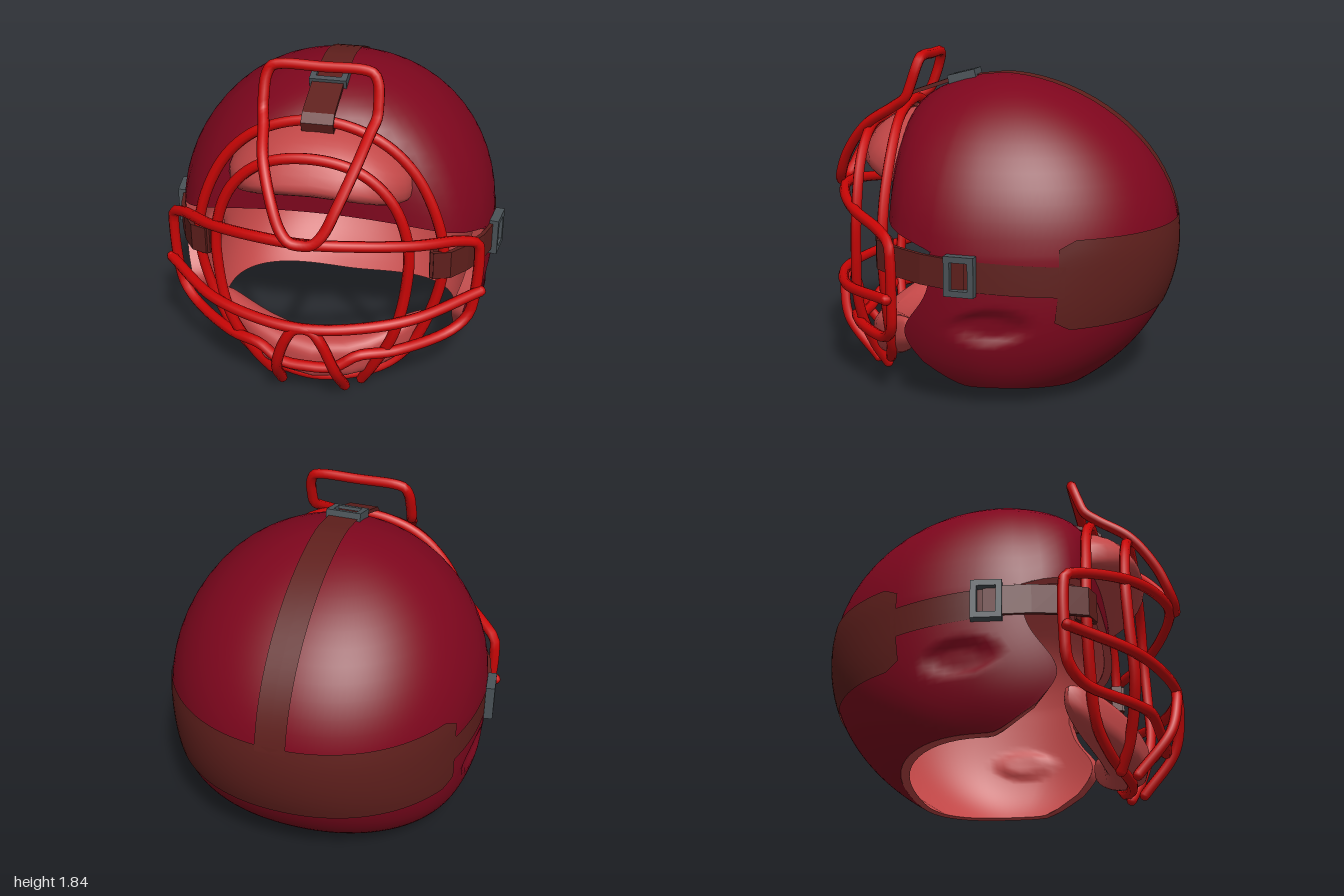
import * as THREE from 'three';
import { mergeGeometries, mergeVertices } from 'three/addons/utils/BufferGeometryUtils.js';

const mat = (name, color, open = true) =>
  new THREE.MeshStandardMaterial({ name, color, side: open ? THREE.DoubleSide : THREE.FrontSide });
const V = (x, y, z) => new THREE.Vector3(x, y, z);
const { lerp, smoothstep, degToRad: rad } = THREE.MathUtils;
const NOTCH = rad(74); // angle from the front where the face opening meets the ear flap

// Point on the helmet skin: phi runs from the front (0) round to the back (PI)
function skin(phi, y) {
  const c = Math.cos(phi), s = Math.sin(phi), up = y > 0.8;
  const u = up ? Math.min(1, (y - 0.8) / 0.91) : (0.8 - y) / 0.77;
  const rSide = 0.9 * (up ? Math.sqrt(1 - u * u) : 1 - 0.23 * u ** 4);
  const rBack = up ? (1 - u * u) ** 0.57 : Math.sqrt(1 - 0.72 * u * u);
  const full = c < 0 ? (Math.abs(s) ** 2.15 + Math.abs(c) ** 2.15) ** (-1 / 2.15) : 1; // fuller back
  let x = rSide * s * full;
  let z = c > 0 ? rSide * c : rBack * c * full;
  if (z > 0.3) z = 0.3 + 0.27 * Math.tanh((z - 0.3) / 0.27); // flattened brow
  const a = Math.abs(phi > Math.PI ? phi - 2 * Math.PI : phi);
  if (y < 0.72) { // ear flap swings forward round the cheek
    z += 0.165 * Math.exp(-(((y - 0.4) / 0.18) ** 2)) * (1 - smoothstep(a, NOTCH, rad(115)));
    if (z > 0) x = Math.sign(x) * Math.min(Math.abs(x), Math.sqrt(rSide * rSide - z * z));
    const d = ((z + 0.065) / 0.18) ** 2 + ((y - 0.475) / 0.085) ** 2; // ear dimple
    x -= Math.sign(x) * 0.03 * Math.exp(-(d ** 4));
  }
  return V(x, y, z);
}
const brimY = (phi) => 0.86 + 0.17 * Math.max(0, (Math.cos(phi) - 0.275) / 0.725) ** 0.8;
function hemY(phi) {
  const a = phi > Math.PI ? 2 * Math.PI - phi : phi;
  return 0.03 + 0.08 * (1 - smoothstep(a, rad(95), Math.PI)) + 0.13 * Math.max(0, 1 - (a - NOTCH) / 0.22) ** 2;
}
const lift = (p, k = 1.007) => V(p.x * k, 0.8 + (p.y - 0.8) * k, p.z * k);
const inner = (p) => V(p.x * 0.92, p.y > 1 ? 1 + (p.y - 1) * 0.91 : p.y, p.z * 0.92);

// Grid surface from f(u, v), u and v in 0..1
function sheet(nu, nv, f) {
  const pos = [], index = [];
  for (let i = 0; i <= nu; i++) for (let j = 0; j <= nv; j++) pos.push(...f(i / nu, j / nv).toArray());
  for (let i = 0; i < nu; i++) for (let j = 0; j < nv; j++) {
    const a = i * (nv + 1) + j, b = a + nv + 1;
    index.push(a, a + 1, b, b, a + 1, b + 1);
  }
  const g = new THREE.BufferGeometry();
  g.setAttribute('position', new THREE.Float32BufferAttribute(pos, 3));
  g.setIndex(index);
  g.computeVertexNormals();
  return g;
}

// Strap of rectangular section along a path, crisp edges
function ribbon(path, half, thick) {
  const g = sheet(path.length - 1, 4, (u, v) => {
    const k = Math.round(v * 4) % 4;
    const p = path[Math.round(u * (path.length - 1))].clone().addScaledVector(half, k === 0 || k === 3 ? 1 : -1);
    return k > 1 ? p.add(thick) : p;
  }).toNonIndexed();
  g.computeVertexNormals();
  return g;
}

// Dome over the brim line plus the lower wall behind the face opening
function helmetLayer(place) {
  const angle = (u) => u < 0.2 ? lerp(-NOTCH, NOTCH, u / 0.2) : lerp(NOTCH, 2 * Math.PI - NOTCH, (u - 0.2) / 0.8);
  const dome = sheet(105, 16, (u, v) => {
    const phi = angle(u), e = brimY(phi);
    return place(skin(phi, v === 0 ? 1.71 : lerp(e, 1.71, Math.cos(v * Math.PI / 2))));
  });
  const wall = sheet(84, 28, (u, v) => {
    const phi = lerp(NOTCH, 2 * Math.PI - NOTCH, u);
    return place(skin(phi, lerp(0.86, hemY(phi), v)));
  });
  const g = mergeGeometries([dome, wall]);
  g.deleteAttribute('normal');
  const m = mergeVertices(g, 1e-4);
  m.computeVertexNormals();
  return m;
}

// Closed outline of the helmet edge
function edgePoint(t) {
  const s = (t % 1) * 4, k = Math.floor(s), f = s - k, end = 2 * Math.PI - NOTCH;
  if (k === 0) { const p = lerp(-NOTCH, NOTCH, f); return skin(p, brimY(p)); }
  if (k === 1) return skin(NOTCH, lerp(0.86, hemY(NOTCH), f));
  if (k === 2) { const p = lerp(NOTCH, end, f); return skin(p, hemY(p)); }
  return skin(end, lerp(hemY(end), 0.86, f));
}

// Symmetrical wire bar from its +x half
function bar(half, closed) {
  const pts = half.map((p) => V(...p));
  const mirror = (a) => a.map((p) => V(-p.x, p.y, p.z)).reverse();
  const path = closed ? [...pts, ...mirror(pts.slice(1, -1))] : [...mirror(pts.slice(1)), ...pts];
  const curve = new THREE.CatmullRomCurve3(path, closed);
  const parts = [new THREE.TubeGeometry(curve, 110, 0.03, 8, closed)];
  if (!closed) for (const p of [path[0], path[path.length - 1]])
    parts.push(new THREE.SphereGeometry(0.03, 8, 6).translate(p.x, p.y, p.z));
  return mergeGeometries(parts);
}

// Bent cushion from a rounded block
function cushion(w, h, d, power, rule) {
  const g = new THREE.SphereGeometry(1, 32, 20), p = g.attributes.position;
  const soft = (n) => Math.sign(n) * Math.abs(n) ** power;
  for (let i = 0; i < p.count; i++) {
    const x = soft(p.getX(i)) * w;
    const [y, z] = rule(x, soft(p.getY(i)) * h, p.getZ(i) * d);
    p.setXYZ(i, x, y, z);
  }
  g.computeVertexNormals();
  return g;
}

function buckleFrame(w, h) {
  const rect = (C, a, b) => new C([[-a, -b], [a, -b], [a, b], [-a, b]].map((q) => new THREE.Vector2(...q)));
  const shape = rect(THREE.Shape, w / 2, h / 2);
  shape.holes.push(rect(THREE.Path, w / 2 - 0.032, h / 2 - 0.032));
  return new THREE.ExtrudeGeometry(shape, { depth: 0.05, bevelEnabled: false }).translate(0, 0, -0.025);
}

export function createModel() {
  const group = new THREE.Group();
  const shellMat = mat('maroon shell', 0x7e061d), padMat = mat('salmon padding', 0xc24747);
  const strapMat = mat('brown strap', 0x5f1f1c), steel = mat('grey buckle', 0x4b5358, false);
  const wire = mat('red wire', 0xca0505, false);
  const add = (name, geo, material) => {
    const m = new THREE.Mesh(geo, material);
    m.name = name;
    group.add(m);
    return m;
  };

  // Helmet
  add('helmetShell', helmetLayer((p) => p), shellMat);
  add('helmetLining', helmetLayer(inner), padMat);
  add('helmetEdge', sheet(160, 1, (u, v) => v ? inner(edgePoint(u)) : edgePoint(u)), padMat);

  // Cushions: the brow pad leans back above its thickest line
  add('browPad', cushion(0.5, 0.175, 0.26, 0.75, (x, y, z) => {
    const py = 1.36 + y - 0.6 * x * x;
    return [py, 0.56 + z - 0.3 * x * x - 0.65 * Math.max(0, py - 1.27)];
  }), padMat);
  add('chinPad', cushion(0.6, 0.125, 0.12, 0.6, (x, y, z) => [0.19 + y + 0.45 * x * x, 0.66 + z - 0.63 * x * x]), padMat);

  // Face mask
  add('outerMaskLoop', bar([[0, 1.56, 0.53], [0.3, 1.49, 0.54], [0.5, 1.32, 0.54], [0.64, 1.04, 0.55], [0.68, 0.79, 0.55],
    [0.62, 0.48, 0.55], [0.5, 0.22, 0.56], [0.34, 0.1, 0.61], [0, 0.05, 0.68]], true), wire);
  add('innerMaskLoop', bar([[0, 1.44, 0.74], [0.25, 1.39, 0.74], [0.42, 1.24, 0.74], [0.51, 1, 0.74], [0.51, 0.75, 0.75],
    [0.45, 0.45, 0.76], [0.33, 0.18, 0.71], [0.26, 0.04, 0.65]], false), wire);
  add('crownFrame', bar([[0, 1.815, 0.43], [0.22, 1.815, 0.43], [0.27, 1.8, 0.435], [0.295, 1.75, 0.45], [0.302, 1.66, 0.48],
    [0.3, 1.59, 0.51], [0.28, 1.54, 0.58], [0.24, 1.43, 0.755], [0.17, 1.26, 0.89], [0.11, 1.13, 0.95], [0.06, 1.08, 0.97], [0, 1.07, 0.97]], true), wire);
  add('faceOpeningLoop', bar([[0, 1.06, 0.94], [0.3, 1.04, 0.87], [0.55, 1, 0.74], [0.77, 0.94, 0.54], [0.85, 0.89, 0.47],
    [0.86, 0.82, 0.46], [0.85, 0.58, 0.46], [0.82, 0.43, 0.47], [0.73, 0.35, 0.53], [0.45, 0.33, 0.75],
    [0.27, 0.33, 0.83], [0.15, 0.26, 0.86], [0, 0.25, 0.87]], true), wire);
  add('middleBar', bar([[0, 0.55, 0.95], [0.25, 0.555, 0.91], [0.55, 0.57, 0.78], [0.88, 0.6, 0.48]], false), wire);
  add('chinBar', bar([[0, 0.55, 0.95], [0.05, 0.535, 0.95], [0.1, 0.46, 0.95], [0.16, 0.27, 0.91], [0.18, 0.04, 0.73]], false), wire);

  // Back harness panel with eased corners
  add('backPanel', sheet(48, 10, (u, v) => {
    const half = 0.19 + 0.045 * smoothstep(Math.min(u, 1 - u), 0, 0.04);
    return lift(skin(rad(lerp(114, 246, u)), 0.7 + half * (1 - 2 * v)));
  }), strapMat);

  // Strap over the crown, then a thicker free end hooked round the mask
  add('crownStrap', sheet(20, 2, (u, v) => {
    const p = lift(u < 0.9 ? skin(Math.PI, 0.9 + 0.81 * Math.sin(u / 0.9 * Math.PI / 2)) : skin(0, lerp(1.71, 1.68, (u - 0.9) / 0.1)));
    p.x = 0.17 * (v - 0.5);
    return p;
  }), strapMat);
  const hook = [[1.7, 0.2], [1.685, 0.3], [1.645, 0.42], [1.605, 0.54], [1.56, 0.58], [1.525, 0.57], [1.52, 0.5]];
  add('crownHook', ribbon(hook.map(([y, z]) => V(0, y, z)), V(0.085, 0, 0), V(0, -0.02, -0.01)), strapMat);
  const top = add('crownBuckle', buckleFrame(0.2, 0.16), steel);
  top.position.set(0, 1.692, 0.235);
  top.rotation.x = -Math.PI / 2 + 0.24;

  // Side straps and buckles
  const loose = [[0.915, 0.755, 0.06], [0.905, 0.76, 0.16], [0.87, 0.77, 0.3], [0.8, 0.785, 0.45], [0.72, 0.8, 0.57], [0.63, 0.8, 0.6], [0.62, 0.8, 0.54], [0.7, 0.8, 0.5]];
  for (const s of [1, -1]) {
    const side = s > 0 ? 'left' : 'right';
    add(side + 'ShellStrap', sheet(14, 4, (u, v) => {
      const p = lift(skin(rad(lerp(116, 83, u)), lerp(0.72, 0.755, u) + 0.08 * (1 - 2 * v)));
      p.x *= s;
      return p;
    }), strapMat);
    add(side + 'MaskStrap', ribbon(loose.map(([x, y, z]) => V(x * s, y, z)), V(0, 0.08, 0), V(-0.02 * s, 0, -0.012)), strapMat);
    const b = add(side + 'Buckle', buckleFrame(0.16, 0.21), steel);
    b.position.set(0.922 * s, 0.755, 0.08);
    b.rotation.y = s * (Math.PI / 2 - 0.14);
  }
  return group;
}
